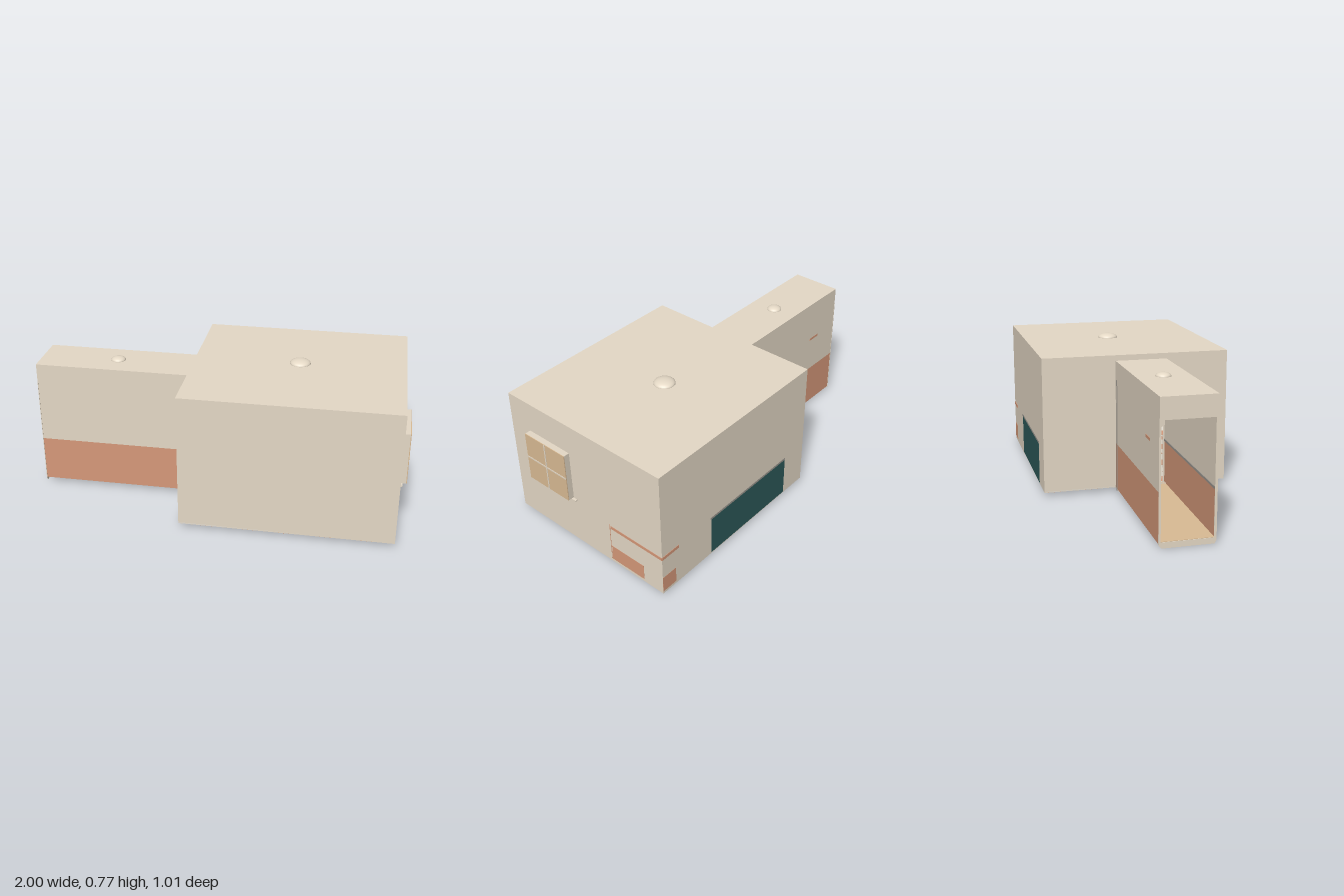
import * as THREE from 'three';

const mat = (name, color) => {
  const m = new THREE.MeshStandardMaterial({ color });
  m.name = name;
  return m;
};

export function createModel() {
  const root = new THREE.Group();
  root.name = 'kitchenAndHall';
  const plaster = mat('plaster', 0xe5d9c6);
  const terracotta = mat('terracotta', 0xd6997a);
  const tan = mat('tan', 0xdabb94);
  const teal = mat('teal', 0x2d5959);
  const cream = mat('creamTile', 0xe6dfd4);
  const grey = mat('greyTrim', 0x9c978f);
  const olive = mat('oliveMat', 0xc4bc90);

  const add = (name, geometry, material, parent = root) => {
    const m = new THREE.Mesh(geometry, material);
    m.name = name;
    parent.add(m);
    return m;
  };
  // Box given by its limits on each axis
  const box = (name, material, [x0, x1], [y0, y1], [z0, z1]) => {
    const m = add(name, new THREE.BoxGeometry(x1 - x0, y1 - y0, z1 - z0), material);
    m.position.set((x0 + x1) / 2, (y0 + y1) / 2, (z0 + z1) / 2);
    return m;
  };
  const rect = (z0, z1, y0, y1) => [[z0, y0], [z1, y0], [z1, y1], [z0, y1]];
  const points = (list) => list.map(([a, b]) => new THREE.Vector2(a, b));
  // Upright slab across x, drawn in (z, y), with an opening
  const slab = (name, material, x0, x1, outline, hole) => {
    const shape = new THREE.Shape(points(outline));
    shape.holes.push(new THREE.Path(points(hole)));
    const g = new THREE.ExtrudeGeometry(shape, { depth: x1 - x0, bevelEnabled: false });
    g.rotateY(-Math.PI / 2);
    g.translate(x1, 0, 0);
    return add(name, g, material);
  };
  const T = 0.006; // wall thickness

  // Room shell
  const X0 = -0.16, X1 = 0.963, Z = 0.505, Y0 = 0.02, Y1 = 0.748;
  const side = rect(-Z, Z, Y0, Y1);
  box('roomFrontWall', plaster, [X0, X1], [Y0, Y1], [Z - T, Z]);
  box('roomBackWall', plaster, [X0, X1], [Y0, Y1], [-Z, -Z + T]);
  box('roomCeiling', plaster, [X0, X1], [Y1 - T, Y1], [-Z, Z]);
  slab('roomDoorWall', plaster, X0, X0 + T, side, rect(-0.1, 0.15, 0.03, 0.62));
  slab('roomWindowWall', plaster, X1 - T, X1, side, rect(0.1, 0.36, 0.31, 0.57));

  // Checkered floor, tiles with clipped corners showing on both faces
  box('roomFloor', cream, [X0, X1], [Y0, Y0 + T], [-Z, Z]);
  const NX = 11, NZ = 10, sx = (X1 - X0) / NX, sz = (2 * Z) / NZ;
  const a = sz / 2 - 0.0005, c = a * 0.75;
  const tileShape = new THREE.Shape(
    points([[a, c], [c, a], [-c, a], [-a, c], [-a, -c], [-c, -a], [c, -a], [a, -c]]));
  const tileGeo = new THREE.ExtrudeGeometry(tileShape, { depth: 0.008, bevelEnabled: false });
  tileGeo.rotateX(-Math.PI / 2);
  const tiles = new THREE.Group();
  tiles.name = 'floorTiles';
  root.add(tiles);
  for (let i = 0; i < NX; i++) {
    for (let j = 0; j < NZ; j++) {
      if ((NX - 1 - i + j) % 2) continue;
      add('floorTile', tileGeo, terracotta, tiles)
        .position.set(X0 + (i + 0.5) * sx, Y0 - 0.0007, -Z + (j + 0.5) * sz);
    }
  }

  // Window bay with glass, bars and sill
  const wz = [0.09, 0.37], wy = [0.3, 0.58];
  slab('windowBox', plaster, X1, 0.994, rect(...wz, ...wy), rect(0.1, 0.36, 0.31, 0.57));
  box('windowGlass', tan, [0.994, 0.998], wy, wz);
  box('windowBarUpright', plaster, [0.998, 1], wy, [0.226, 0.234]);
  box('windowBarAcross', plaster, [0.998, 1], [0.436, 0.444], wz);
  box('windowSill', plaster, [X1, 0.976], [0.289, 0.297], [0.065, 0.39]);

  // Stove block and counters along the back and window walls
  box('stoveBlock', teal, [0, 0.605], [0.028, 0.245], [-0.499, -0.22]);
  box('stoveTop', grey, [0, 0.61], [0.245, 0.265], [-0.499, -0.2]);
  box('backCupboard', terracotta, [0.7, 0.956], [0.028, 0.245], [-0.499, -0.22]);
  box('sideCupboard', terracotta, [0.72, 0.956], [0.028, 0.245], [-0.22, -0.165]);
  box('counterTop', grey, [0.69, 0.956], [0.245, 0.265], [-0.499, -0.16]);
  box('upperCupboard', plaster, [0.05, 0.6], [0.46, 0.67], [-0.499, -0.38]);

  // Thin panels on the outer faces of the walls
  const B = [-Z - 0.001, -Z], R = [X1, X1 + 0.001];
  box('backTealPanel', teal, [0, 0.605], [0.026, 0.25], B);
  box('backTealRail', grey, [0, 0.61], [0.252, 0.264], [-Z - 0.002, -Z]);
  box('backRail', terracotta, [0.845, X1], [0.242, 0.26], [-Z - 0.002, -Z]);
  box('backLowerPanel', terracotta, [0.87, X1], [0.035, 0.125], B);
  box('sideRail', terracotta, [X1, X1 + 0.002], [0.242, 0.259], [-Z, -0.165]);
  box('sidePost', terracotta, R, [0.036, 0.268], [-0.161, -0.158]);
  box('sideLowerPanel', terracotta, R, [0.036, 0.125], [-0.38, -0.165]);

  // Hall: two-tone walls, ceiling and floor
  const HX = [-0.997, X0], H0 = -0.113, H1 = 0.165, HT = 0.718, D = 0.27;
  for (const z of [[H0, H0 + T], [H1 - T, H1]]) {
    box('hallLowerWall', terracotta, HX, [Y0, D], z);
    box('hallUpperWall', plaster, HX, [D, HT], z);
  }
  box('hallCeiling', plaster, HX, [HT - T, HT], [H0, H1]);
  box('hallFloor', terracotta, HX, [Y0, Y0 + T], [H0, H1]);
  box('hallFloorBoards', tan, [-0.99, -0.17], [Y0 + T, Y0 + 0.009], [H0 + T, H1 - T]);
  box('hallLintel', plaster, [-1, -0.994], [0.62, HT], [H0, H1]);
  for (const z of [[H0 + T, H0 + 0.01], [H1 - 0.01, H1 - T]])
    box('wallRail', grey, HX, [D - 0.006, D + 0.006], z);
  box('wallHook', terracotta, [-0.84, -0.76], [0.472, 0.486], [H0 - 0.001, H0]);
  const floorPatch = add('floorPatch', new THREE.CylinderGeometry(0.055, 0.055, 0.002, 8), olive);
  floorPatch.position.set(-0.9, Y0 - 0.0005, 0.025);

  // Thin door frames with a chamfered sill
  const outer = [[-0.1, 0], [0.157, 0], [0.167, 0.018], [0.167, 0.62], [-0.115, 0.62], [-0.115, 0.018]];
  const inner = rect(-0.104, 0.154, 0.03, 0.61);
  slab('hallEndFrame', plaster, -1, -0.997, outer, inner);
  for (const x of [-0.194, -0.164])
    slab('roomDoorSill', plaster, x, x + 0.003, [...outer.slice(0, 3), [0.167, 0.034], [-0.115, 0.034], outer[5]],
      rect(-0.104, 0.154, 0.022, 0.03));
  for (const z of [[H0 - 0.003, H0], [H1, H1 + 0.003]])
    box('doorJamb', grey, [-0.195, -0.185], [0.01, 0.62], z);

  // Ceiling lamp domes
  for (const [name, x, y, z, r, h] of [
    ['roomLampDome', 0.402, Y1, -0.027, 0.056, 0.023],
    ['hallLampDome', -0.58, HT, 0.025, 0.04, 0.019],
  ]) {
    const dome = add(name, new THREE.SphereGeometry(r, 24, 16), plaster);
    dome.scale.y = h / r;
    dome.position.set(x, y, z);
  }
  return root;
}
